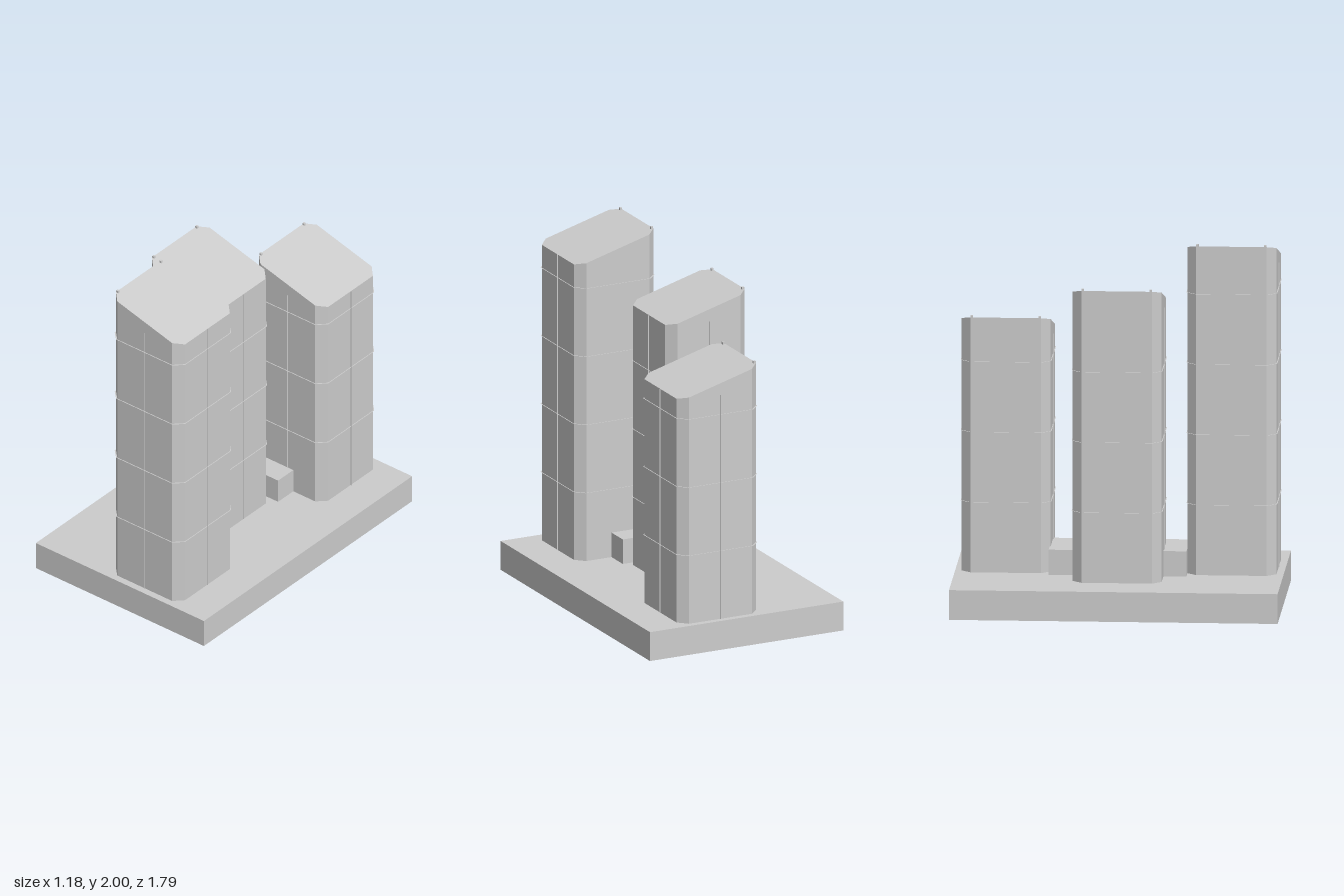
import * as THREE from 'three';

const BASE_TOP = 0.165;
const HALF = 0.2425;      // half width of a tower
const CHAMFER = 0.05;
const FIN = 0.005;        // how far the facade fins stand out
const ROOF_DROP = 0.135;  // fall of the sloping roof from -x to +x

// Square with cut corners
function octagon(h, c, Type = THREE.Shape) {
  const k = h - c;
  return new Type([
    [k, -h], [h, -k], [h, k], [k, h], [-k, h], [-h, k], [-h, -k], [-k, -h],
  ].map(([x, y]) => new THREE.Vector2(x, y)));
}

function createTower(name, x, z, top, material) {
  const tower = new THREE.Group();
  tower.name = name;
  tower.position.set(x, BASE_TOP, z);
  const add = (partName, geometry) => {
    const mesh = new THREE.Mesh(geometry, material);
    mesh.name = partName;
    tower.add(mesh);
    return mesh;
  };

  // Shaft with a roof that slopes down towards +x
  const height = top - BASE_TOP;
  const low = height - ROOF_DROP;
  const shaft = new THREE.ExtrudeGeometry(octagon(HALF, CHAMFER), { depth: height, bevelEnabled: false });
  shaft.rotateX(-Math.PI / 2);
  const p = shaft.attributes.position;
  for (let i = 0; i < p.count; i++) {
    if (p.getY(i) > height / 2) {
      p.setY(i, height - ROOF_DROP * (p.getX(i) + HALF) / (2 * HALF));
    }
  }
  shaft.computeVertexNormals();
  add('shaft', shaft);

  // Horizontal fins around the shaft
  const ring = octagon(HALF + FIN, CHAMFER);
  ring.holes.push(octagon(HALF, CHAMFER, THREE.Path));
  const ringGeometry = new THREE.ShapeGeometry(ring).rotateX(-Math.PI / 2);
  for (let y = 0.39; y < low; y += 0.39) {
    add('floorFin', ringGeometry).position.y = y;
  }

  // Vertical fin in the middle of each side
  const finGeometry = new THREE.PlaneGeometry(FIN, low).translate(HALF + FIN / 2, low / 2, 0);
  for (let i = 0; i < 4; i++) {
    add('verticalFin', finGeometry).rotation.y = i * Math.PI / 2;
  }

  // Small posts at the high edge of the roof
  const postGeometry = new THREE.BoxGeometry(0.013, 0.024, 0.013);
  for (const side of [-1, 1]) {
    add('roofPost', postGeometry).position.set(-0.235, height - 0.002, side * 0.185);
  }
  return tower;
}

export function createModel() {
  const model = new THREE.Group();
  model.name = 'towerComplex';
  const concrete = new THREE.MeshStandardMaterial({ color: 0xcccccc, side: THREE.DoubleSide });
  concrete.name = 'light grey concrete';

  // Hollow base, open underneath: the bottom face of the box is left out
  const baseGeometry = new THREE.BoxGeometry(1.18, BASE_TOP, 1.79);
  const index = Array.from(baseGeometry.index.array);
  index.splice(18, 6);
  baseGeometry.setIndex(index);
  baseGeometry.clearGroups();
  const base = new THREE.Mesh(baseGeometry, concrete);
  base.name = 'base';
  base.position.y = BASE_TOP / 2;
  model.add(base);

  // Three staggered towers, tallest in front
  model.add(createTower('frontTower', 0.142, 0.613, 1.99, concrete));
  model.add(createTower('middleTower', -0.104, 0.003, 1.785, concrete));
  model.add(createTower('backTower', 0.142, -0.617, 1.58, concrete));

  // Low links between the towers
  for (const [name, z] of [['frontLink', 0.303], ['backLink', -0.312]]) {
    const link = new THREE.Mesh(new THREE.BoxGeometry(0.325, 0.14, 0.136), concrete);
    link.name = name;
    link.position.set(0.018, BASE_TOP + 0.07, z);
    model.add(link);
  }
  return model;
}
